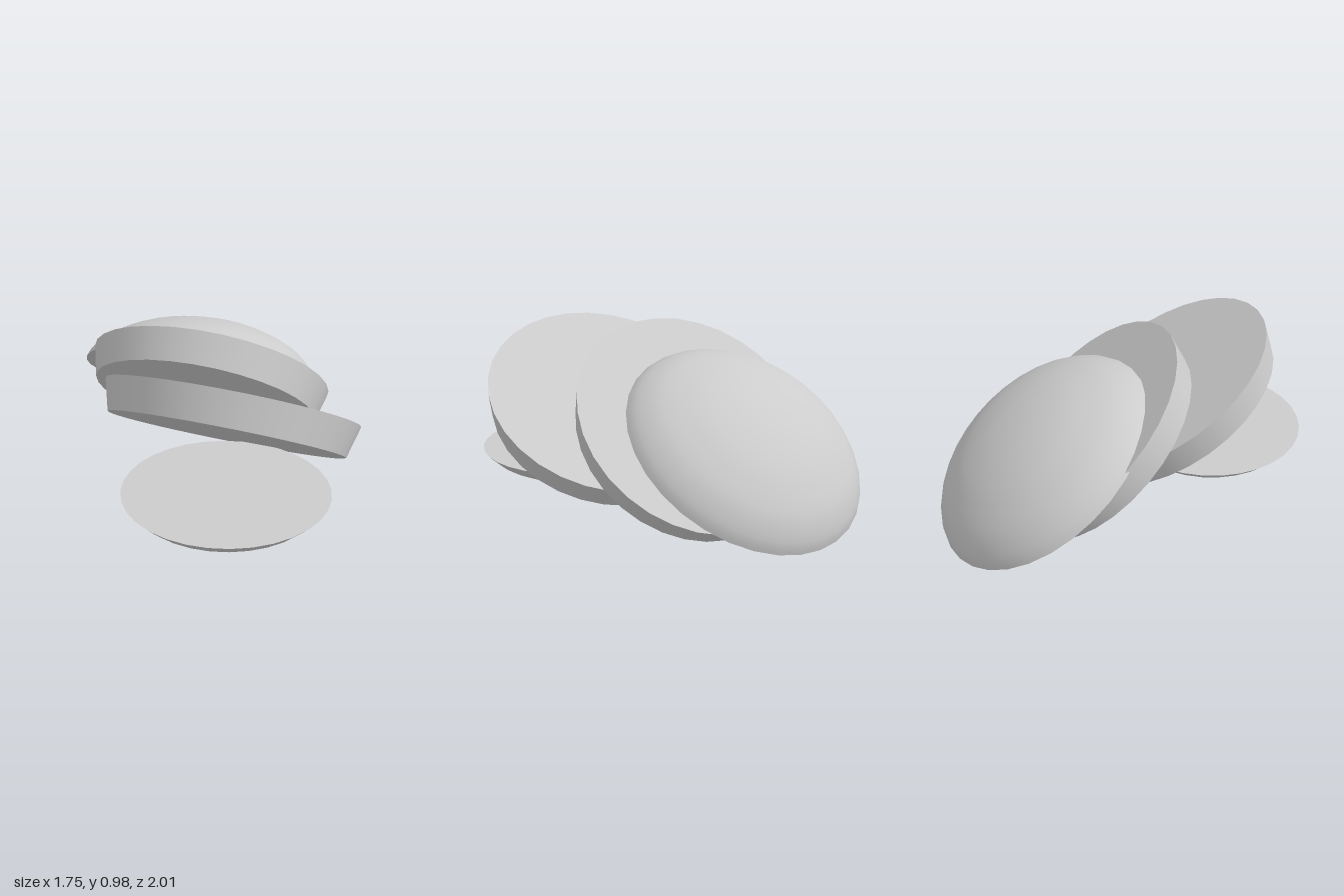
import * as THREE from 'three';

const SEGMENTS = 32;
const material = new THREE.MeshStandardMaterial({ color: 0xcccccc });

// Place a part at a centre with its axis (local y) along a direction
function place(object, name, centre, axis) {
  object.name = name;
  object.position.set(...centre);
  object.quaternion.setFromUnitVectors(
    new THREE.Vector3(0, 1, 0), new THREE.Vector3(...axis).normalize());
  return object;
}

// Tapered round slice, wider on top
function slice(name, centre, axis) {
  const geometry = new THREE.CylinderGeometry(0.655, 0.61, 0.165, SEGMENTS);
  return place(new THREE.Mesh(geometry, material), name, centre, axis);
}

// Rounded end: smooth lathe shell closed by a flat cut face at y = 0
function roundedEnd(name, profile, centre, axis, cutUp) {
  const group = new THREE.Group();
  const curve = new THREE.SplineCurve(profile.map(([r, y]) => new THREE.Vector2(r, y)));
  const points = curve.getPoints(18);
  points.forEach((p) => { p.x = Math.max(p.x, 0); });
  const shell = new THREE.Mesh(new THREE.LatheGeometry(points, SEGMENTS), material);
  shell.name = 'crust';
  const radius = Math.max(profile[0][0], profile[profile.length - 1][0]);
  const disc = new THREE.CircleGeometry(radius, SEGMENTS);
  disc.rotateZ(Math.PI / 2);
  disc.rotateX(cutUp ? -Math.PI / 2 : Math.PI / 2);
  const face = new THREE.Mesh(disc, material);
  face.name = 'cutFace';
  group.add(shell, face);
  return place(group, name, centre, axis);
}

export function createModel() {
  const model = new THREE.Group();
  model.name = 'slicedRound';

  // Shallow bowl-shaped bottom end, lying flat
  model.add(roundedEnd('bottomEnd', [
    [0, -0.145], [0.13, -0.145], [0.25, -0.143], [0.33, -0.122],
    [0.44, -0.072], [0.485, -0.035], [0.522, 0],
  ], [0.295, 0.265, 0.48], [0, 1, 0], true));

  // Two leaning middle slices
  model.add(slice('frontSlice', [0.22, 0.53, 0.235], [0, 0.848, -0.53]));
  model.add(slice('rearSlice', [-0.065, 0.482, -0.192], [-0.05, 0.736, -0.677]));

  // Domed top end leaning at the back
  model.add(roundedEnd('topEnd', [
    [0.655, 0], [0.625, 0.055], [0.55, 0.128], [0.45, 0.185],
    [0.32, 0.237], [0.15, 0.272], [0, 0.28],
  ], [-0.225, 0.44, -0.465], [-0.13, 0.81, -0.57], false));

  return model;
}
